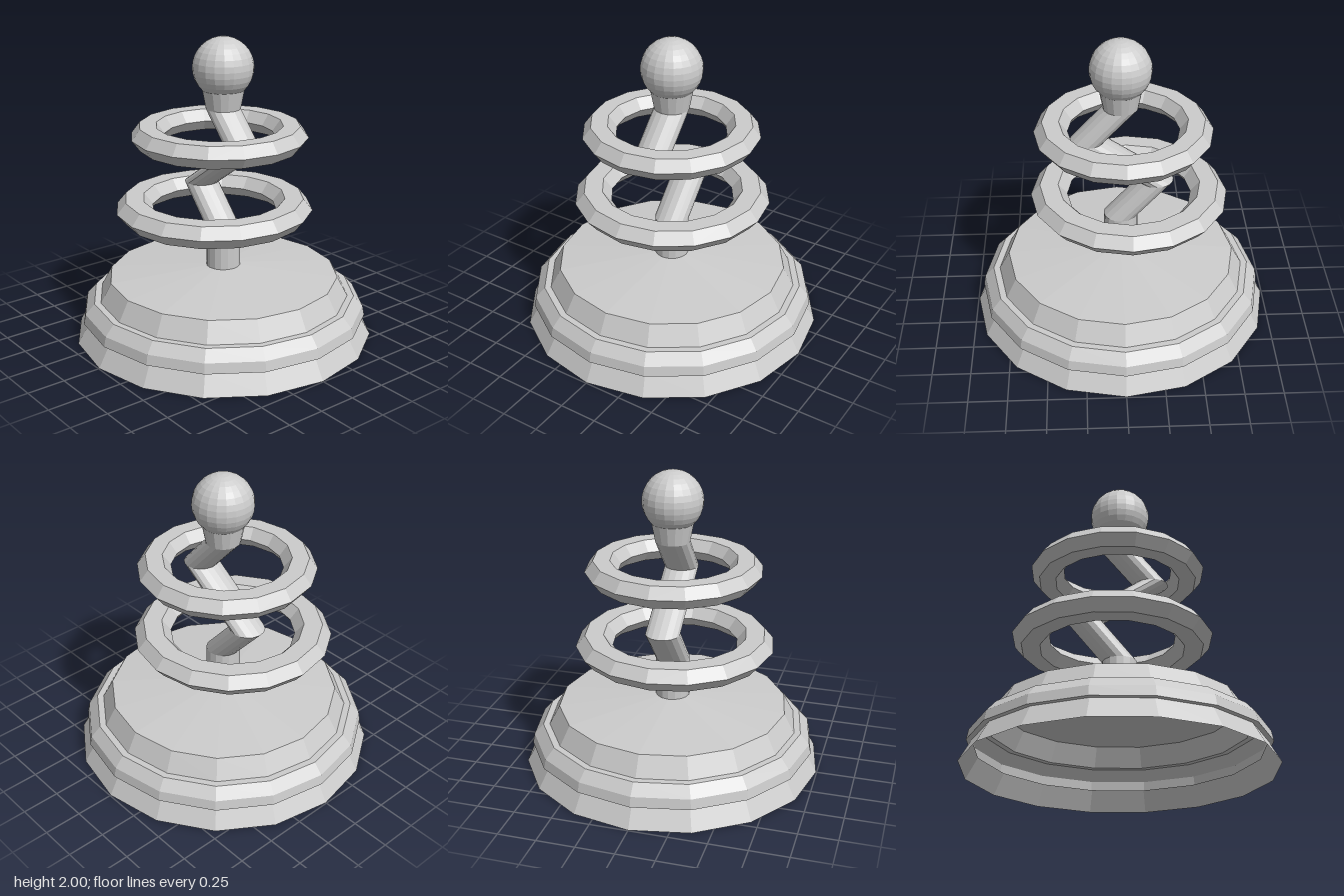
import * as THREE from 'three';

const grey = new THREE.MeshStandardMaterial({ color: 0xcccccc, flatShading: true });
const greyOpen = new THREE.MeshStandardMaterial({ color: 0xcccccc, flatShading: true, side: THREE.DoubleSide });

function part(name, geometry, material = grey) {
  const mesh = new THREE.Mesh(geometry, material);
  mesh.name = name;
  return mesh;
}

// Zigzag tube: each level is a horizontal circle [y, centre x, radius], top first
function zigzagTube(levels, sides = 16) {
  const g = new THREE.CylinderGeometry(1, 1, 1, sides, levels.length - 1, true);
  const p = g.attributes.position;
  for (let i = 0; i < p.count; i++) {
    const [y, x, r] = levels[Math.floor(i / (sides + 1))];
    p.setXYZ(i, x + p.getX(i) * r, y, p.getZ(i) * r);
  }
  g.computeVertexNormals();
  return g;
}

// Loose ring with a flattened hexagonal section
function ring(name, x, y, z, radius, tube, halfHeight) {
  const g = new THREE.TorusGeometry(radius, tube, 6, 16);
  g.rotateX(-Math.PI / 2);
  g.scale(1, halfHeight / (tube * Math.sin(Math.PI / 3)), 1);
  const mesh = part(name, g);
  mesh.position.set(x, y, z);
  return mesh;
}

export function createModel() {
  const model = new THREE.Group();
  model.name = 'ringToy';

  // Hollow stepped base, open underneath and around the stem
  const profile = [
    [0.995, 0], [0.918, 0.137], [0.953, 0.137], [0.94, 0.203],
    [0.878, 0.272], [0.835, 0.272], [0.765, 0.403], [0.113, 0.462],
  ].map(([r, y]) => new THREE.Vector2(r, y));
  model.add(part('base', new THREE.LatheGeometry(profile, 16), greyOpen));

  // Stem with two bends and a flared collar
  model.add(part('stem', zigzagTube([
    [1.66, 0, 0.137],
    [1.535, 0, 0.113],
    [1.3, 0.215, 0.113],
    [0.99, -0.235, 0.113],
    [0.725, 0, 0.113],
    [0.462, 0, 0.113],
  ]), greyOpen));

  // Ball on top
  const ball = part('ball', new THREE.SphereGeometry(0.198, 20, 16));
  ball.position.y = 1.802;
  model.add(ball);

  // Two loose rings, slightly off centre
  model.add(ring('lowerRing', -0.057, 0.862, 0.033, 0.53, 0.121, 0.073));
  model.add(ring('upperRing', -0.02, 1.357, 0.015, 0.468, 0.109, 0.072));

  return model;
}
